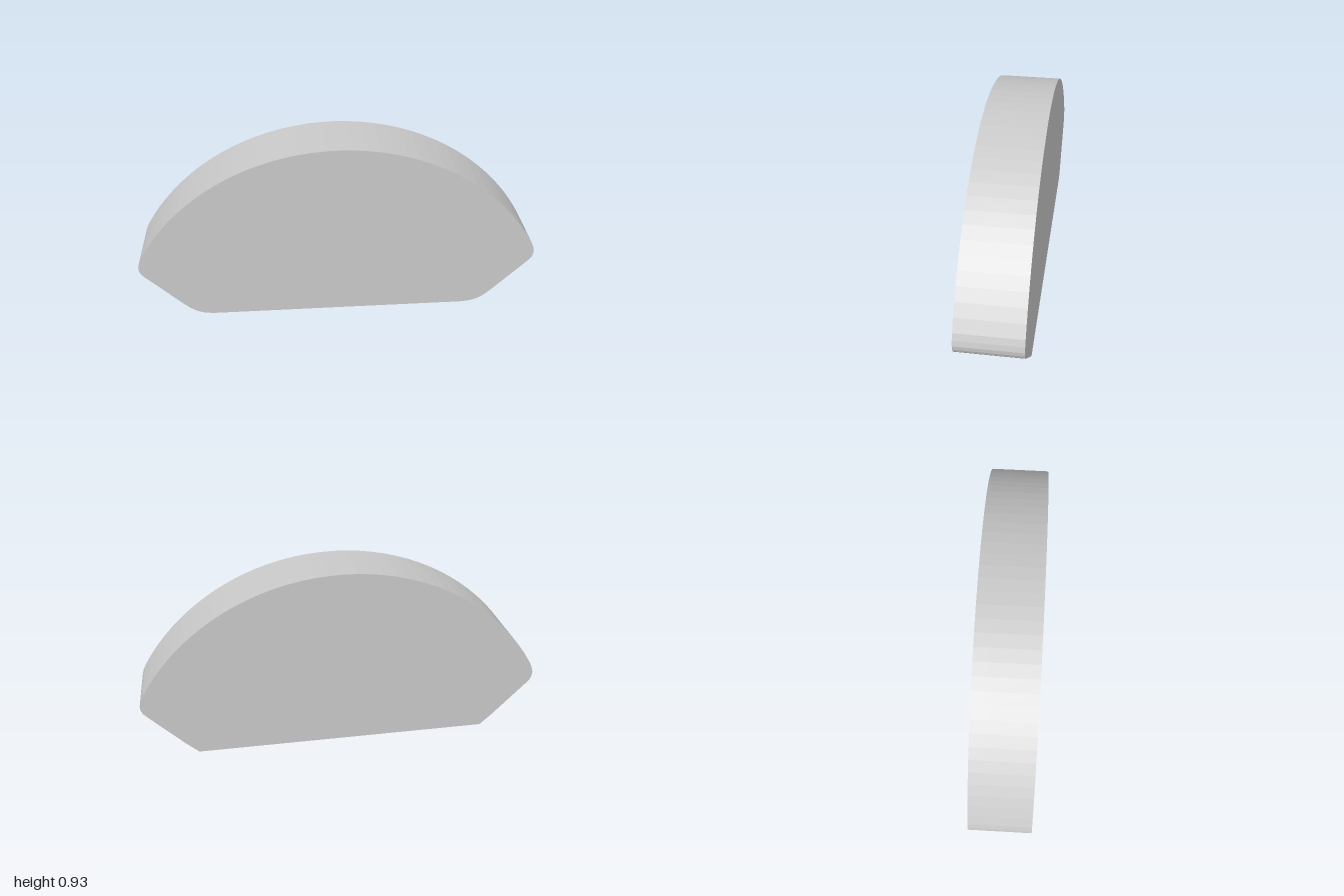
import * as THREE from 'three';

const DEPTH = 0.155;   // half thickness
const RADIUS = 1.136;  // crown arc
const TOP = 0.927;

// Half outline (x >= 0) from crown to base; the back has a sharp, slightly raised base
function halfOutline(sharp) {
  const pts = [];
  const end = Math.asin(0.98 / RADIUS);
  for (let i = 0; i <= 18; i++) {
    const a = end * i / 18;
    pts.push([RADIUS * Math.sin(a), TOP - RADIUS * (1 - Math.cos(a))]);
  }
  // rounded shoulder, then the sloping side
  pts.push([0.993, 0.335], [1, 0.308], [0.998, 0.286], [0.991, 0.268], [0.978, 0.252], [0.80, 0.07]);
  // lower corner
  const round = [[0.767, 0.04], [0.733, 0.018], [0.695, 0.005], [0.65, 0]];
  for (const p of round) pts.push(sharp ? [0.738, 0.013] : p);
  return pts;
}

// Full closed outline, clockwise seen from the front
function outline(sharp) {
  const half = halfOutline(sharp);
  const mirrored = half.slice(1).reverse().map(([x, y]) => [-x, y]);
  return [...half, ...mirrored];
}

function bodyGeometry() {
  const sections = [
    { z: DEPTH, pts: outline(false) },
    { z: -0.08, pts: outline(false) },
    { z: -DEPTH, pts: outline(true) },
  ];
  const pos = [];
  const vertex = (s, i) => new THREE.Vector3(...s.pts[i % s.pts.length], s.z);
  // skips the empty triangles where points meet at the sharp corner
  const tri = (a, b, c) => {
    const area = b.clone().sub(a).cross(c.clone().sub(a)).length();
    if (area > 1e-7) for (const v of [a, b, c]) pos.push(v.x, v.y, v.z);
  };
  const n = sections[0].pts.length;
  const front = sections[0], back = sections[2];
  for (let i = 0; i < n; i++) {
    // rim
    for (let k = 0; k < 2; k++) {
      const a = vertex(sections[k], i), b = vertex(sections[k], i + 1);
      const c = vertex(sections[k + 1], i), d = vertex(sections[k + 1], i + 1);
      tri(a, b, c);
      tri(b, d, c);
    }
    // flat faces
    tri(new THREE.Vector3(0, 0.4, DEPTH), vertex(front, i + 1), vertex(front, i));
    tri(new THREE.Vector3(0, 0.4, -DEPTH), vertex(back, i), vertex(back, i + 1));
  }
  const geo = new THREE.BufferGeometry();
  geo.setAttribute('position', new THREE.Float32BufferAttribute(pos, 3));
  geo.computeVertexNormals();
  return geo;
}

export function createModel() {
  const grey = new THREE.MeshStandardMaterial({ color: 0xc9c9c9 });
  grey.name = 'plain grey';
  const body = new THREE.Mesh(bodyGeometry(), grey);
  body.name = 'domedBlock';
  const model = new THREE.Group();
  model.name = 'domedPlate';
  model.add(body);
  return model;
}
